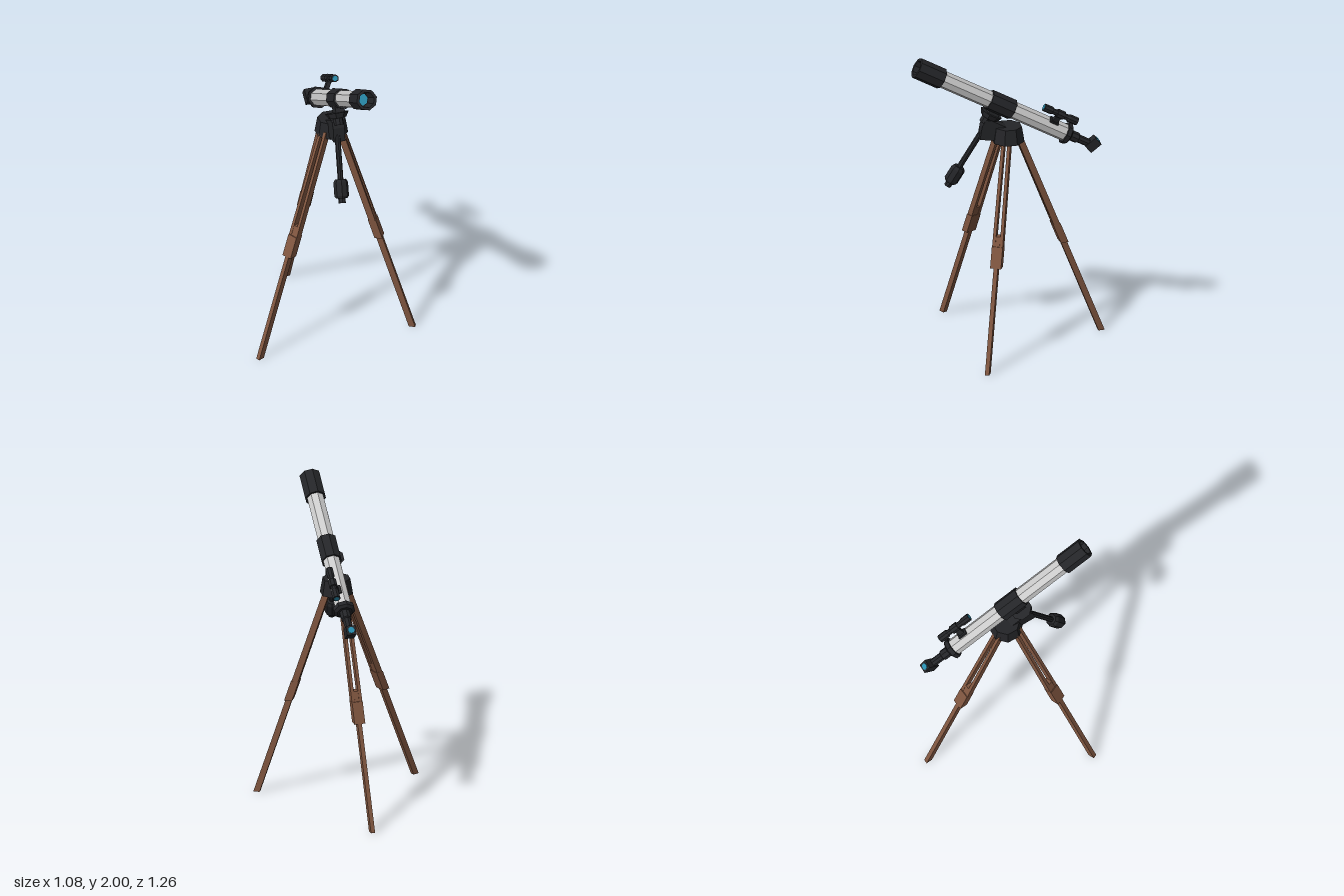
import * as THREE from 'three';

const mat = (color) => new THREE.MeshStandardMaterial({ color, flatShading: true });
const V = (x, y, z) => new THREE.Vector3(x, y, z);

export function createModel() {
  const model = new THREE.Group();
  model.name = 'telescopeOnTripod';
  const wood = mat(0x805640), black = mat(0x242528), silver = mat(0xcccccc), glass = mat(0x2a8fb0);

  const add = (parent, name, geo, material, x = 0, y = 0, z = 0) => {
    const m = new THREE.Mesh(geo, material);
    m.name = name;
    m.position.set(x, y, z);
    parent.add(m);
    return m;
  };
  // eight-sided turned part along +z from [radius, z] pairs, slightly rolled
  const turned = (pts, sides = 8) =>
    new THREE.LatheGeometry(pts.map(([r, z]) => new THREE.Vector2(r, z)), sides)
      .rotateX(Math.PI / 2).rotateZ(0.12);
  const rod = (r, z0, z1) => turned([[0, z0], [r, z0], [r, z1], [0, z1]]);

  // ---- tripod legs: sheared bars with level ends ----
  const makeLeg = (name, top, foot) => {
    const leg = new THREE.Group();
    leg.name = name;
    model.add(leg);
    const out = V(foot.x - top.x, 0, foot.z - top.z).normalize();
    const side = V(0, 1, 0).cross(out);
    const at = (y, s = 0) => foot.clone().lerp(top, y / top.y).addScaledVector(side, s);
    const bar = (part, p, q, w, d) => {
      const basis = new THREE.Matrix4().makeBasis(side, q.clone().sub(p), out);
      basis.setPosition(p.clone().add(q).multiplyScalar(0.5));
      add(leg, part, new THREE.BoxGeometry(w, 1, d).applyMatrix4(basis), wood);
    };
    for (const s of [-1, 1]) bar('upperRail', at(0.68, s * 0.025), at(1.42, s * 0.019), 0.02, 0.042);
    bar('clampBlock', at(0.64), at(0.77), 0.07, 0.05);
    bar('lowerRail', at(0), at(0.83), 0.027, 0.04);
  };
  makeLeg('backLeg', V(0.03, 1.42, -0.055), V(-0.033, 0, -0.607));
  makeLeg('rightLeg', V(0, 1.42, 0.045), V(-0.515, 0, 0.3));
  makeLeg('leftLeg', V(0.1, 1.42, 0.02), V(0.513, 0, 0.23));

  // ---- tripod hub and pan head ----
  add(model, 'hub', new THREE.CylinderGeometry(0.088, 0.105, 0.1, 8).rotateY(Math.PI / 8), black, 0.055, 1.43, 0.005);
  const head = new THREE.Shape([[0.19, 1.41], [0.175, 1.5], [0.155, 1.535], [0.12, 1.535],
    [0.02, 1.48], [0.04, 1.39]].map(([z, y]) => new THREE.Vector2(-z, y)));
  add(model, 'panHead', new THREE.ExtrudeGeometry(head, { depth: 0.075, bevelEnabled: false })
    .rotateY(Math.PI / 2), black, 0.01, 0, 0);

  // ---- pan handle with grip ----
  const handle = new THREE.Group();
  handle.name = 'panHandle';
  const start = V(0.045, 1.5, 0.14), end = V(0, 1.08, 0.38);
  const dir = end.clone().sub(start), len = dir.length();
  handle.position.copy(start);
  handle.quaternion.setFromUnitVectors(V(0, 0, 1), dir.normalize());
  model.add(handle);
  add(handle, 'handleRod', rod(0.018, 0, len), black);
  add(handle, 'handleGrip', turned([[0, len - 0.15], [0.034, len - 0.15], [0.046, len - 0.13],
    [0.046, len - 0.045], [0.036, len - 0.03], [0, len - 0.03]]), black);
  add(handle, 'handleTip', rod(0.023, len - 0.03, len), black);

  // ---- telescope, local +z is the viewing direction ----
  const scope = new THREE.Group();
  scope.name = 'telescope';
  scope.position.set(0.09, 1.643, 0.06);
  scope.rotation.x = -THREE.MathUtils.degToRad(29);
  model.add(scope);
  add(scope, 'mainTube', rod(0.055, -0.48, 0.46), silver);
  add(scope, 'dewShield', turned([[0, 0.43], [0.068, 0.43], [0.068, 0.612], [0.05, 0.612],
    [0.044, 0.49], [0, 0.49]]), black);
  add(scope, 'objectiveLens', rod(0.04, 0.485, 0.497), glass);
  add(scope, 'collar', rod(0.066, -0.085, 0.085), black);
  add(scope, 'rearRing', turned([[0, -0.505], [0.05, -0.505], [0.07, -0.492], [0.07, -0.465], [0, -0.465]]), black);
  add(scope, 'focuser', turned([[0, -0.64], [0.026, -0.64], [0.026, -0.565], [0.034, -0.56],
    [0.034, -0.5], [0, -0.5]]), black);

  // angled eyepiece box
  const eyepiece = new THREE.Group();
  eyepiece.name = 'eyepiece';
  eyepiece.position.set(0, 0.005, -0.668);
  eyepiece.rotation.x = -THREE.MathUtils.degToRad(23);
  scope.add(eyepiece);
  add(eyepiece, 'eyepieceBox', new THREE.BoxGeometry(0.06, 0.085, 0.06), black);
  add(eyepiece, 'eyeLens', new THREE.CylinderGeometry(0.021, 0.021, 0.006, 8), glass, 0, 0.043, 0);

  // finder scope on its bracket
  const finder = new THREE.Group();
  finder.name = 'finderScope';
  finder.position.set(0.06, 0.114, -0.36);
  scope.add(finder);
  add(finder, 'finderTube', turned([[0, -0.12], [0.026, -0.12], [0.026, -0.06], [0.019, -0.05],
    [0.019, 0.055], [0.025, 0.065], [0.025, 0.12], [0, 0.12]]), black);
  add(finder, 'finderRing', rod(0.028, -0.025, 0.025), black);
  for (const s of [-1, 1]) add(finder, 'finderLens', rod(0.017, -0.003, 0.003), glass, 0, 0, s * 0.12);
  const stem = add(finder, 'finderStem', new THREE.BoxGeometry(0.026, 0.09, 0.036), black, -0.022, -0.043, 0);
  stem.rotation.z = -0.48;
  const shoe = add(finder, 'finderShoe', new THREE.BoxGeometry(0.045, 0.014, 0.06), black, -0.037, -0.065, 0);
  shoe.rotation.z = -0.42;

  // saddle between collar and pan head
  add(scope, 'saddleNeck', new THREE.BoxGeometry(0.06, 0.06, 0.07), black, -0.02, -0.07, 0.01);
  add(scope, 'saddlePlate', new THREE.CylinderGeometry(0.075, 0.055, 0.034, 8).rotateY(Math.PI / 8), black, -0.035, -0.1, 0.012);
  add(scope, 'saddlePost', new THREE.CylinderGeometry(0.032, 0.032, 0.06, 8), black, -0.038, -0.13, 0.025);
  return model;
}
